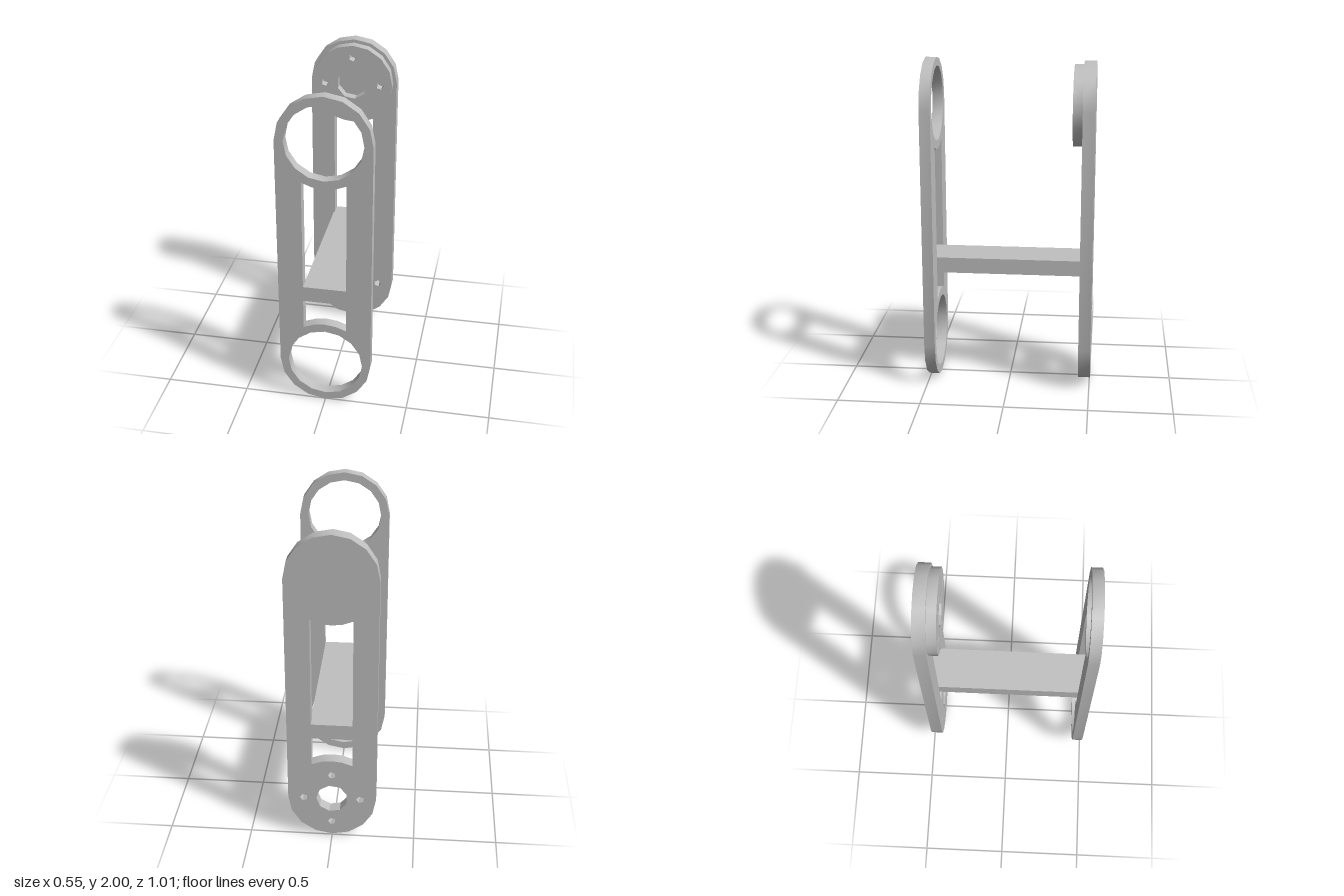
import * as THREE from 'three';
import { toCreasedNormals } from 'three/addons/utils/BufferGeometryUtils.js';

const LOW = 0.277, HIGH = 1.725; // heights of the two joint centres

// Points along an arc, ends included
function arc(cx, cy, r, from, to, steps) {
  const pts = [];
  for (let i = 0; i <= steps; i++) {
    const a = from + (to - from) * i / steps;
    pts.push(new THREE.Vector2(cx + r * Math.cos(a), cy + r * Math.sin(a)));
  }
  return pts;
}

const circle = (cx, cy, r, sides) => arc(cx, cy, r, 0, Math.PI * 2, sides).slice(0, -1);

// Central bore with four bolt holes around it
function boltPattern(cy) {
  const holes = [circle(0, cy, 0.095, 9)];
  for (let i = 0; i < 4; i++) {
    const a = i * Math.PI / 2;
    holes.push(circle(0.17 * Math.cos(a), cy + 0.17 * Math.sin(a), 0.024, 5));
  }
  return holes;
}

// Windows above and below the crossbar, with one end following the joint
function windows(r, w) {
  const t = Math.asin(w / r), up = Math.PI / 2;
  const v = (x, y) => new THREE.Vector2(x, y);
  return [
    [v(-w, 0.80), v(w, 0.80), ...arc(0, HIGH, r, -up + t, -up - t, 4)],
    [v(w, 0.705), v(-w, 0.705), ...arc(0, LOW, r, up + t, up - t, 4)],
  ];
}

function slab(name, outline, holes, z0, z1, material) {
  const shape = new THREE.Shape(outline);
  shape.holes = holes.map((h) => new THREE.Path(h));
  const geo = new THREE.ExtrudeGeometry(shape, { depth: z1 - z0, bevelEnabled: false });
  geo.translate(0, 0, z0);
  const mesh = new THREE.Mesh(toCreasedNormals(geo, 0.55), material);
  mesh.name = name;
  return mesh;
}

// Long plate with round ends
const stadium = (r) => [
  ...arc(0, HIGH, r, 0, Math.PI, 8),
  ...arc(0, LOW, r, Math.PI, Math.PI * 2, 8),
];

export function createModel() {
  const group = new THREE.Group();
  group.name = 'linkBracket';
  const grey = new THREE.MeshStandardMaterial({ color: 0xbfbfbf });
  grey.name = 'grey';

  // Front plate with a large ring at each end
  const rings = [LOW, HIGH].map((y) => circle(0, y, 0.225, 16));
  group.add(slab('frontPlate', stadium(0.275), [...rings, ...windows(0.275, 0.128)], 0.44, 0.505, grey));

  // Back plate, drilled at the bottom and solid at the top
  group.add(slab('backPlate', stadium(0.265), [...boltPattern(LOW), ...windows(0.272, 0.122)], -0.505, -0.432, grey));

  // Raised mounting disc on the back plate
  group.add(slab('mountingDisc', circle(0, HIGH, 0.245, 16), boltPattern(HIGH), -0.432, -0.375, grey));

  // Crossbar joining the plates
  const bar = new THREE.Mesh(new THREE.BoxGeometry(0.256, 0.095, 0.872), grey);
  bar.position.set(0, 0.7525, 0.004);
  bar.name = 'crossbar';
  group.add(bar);

  return group;
}
